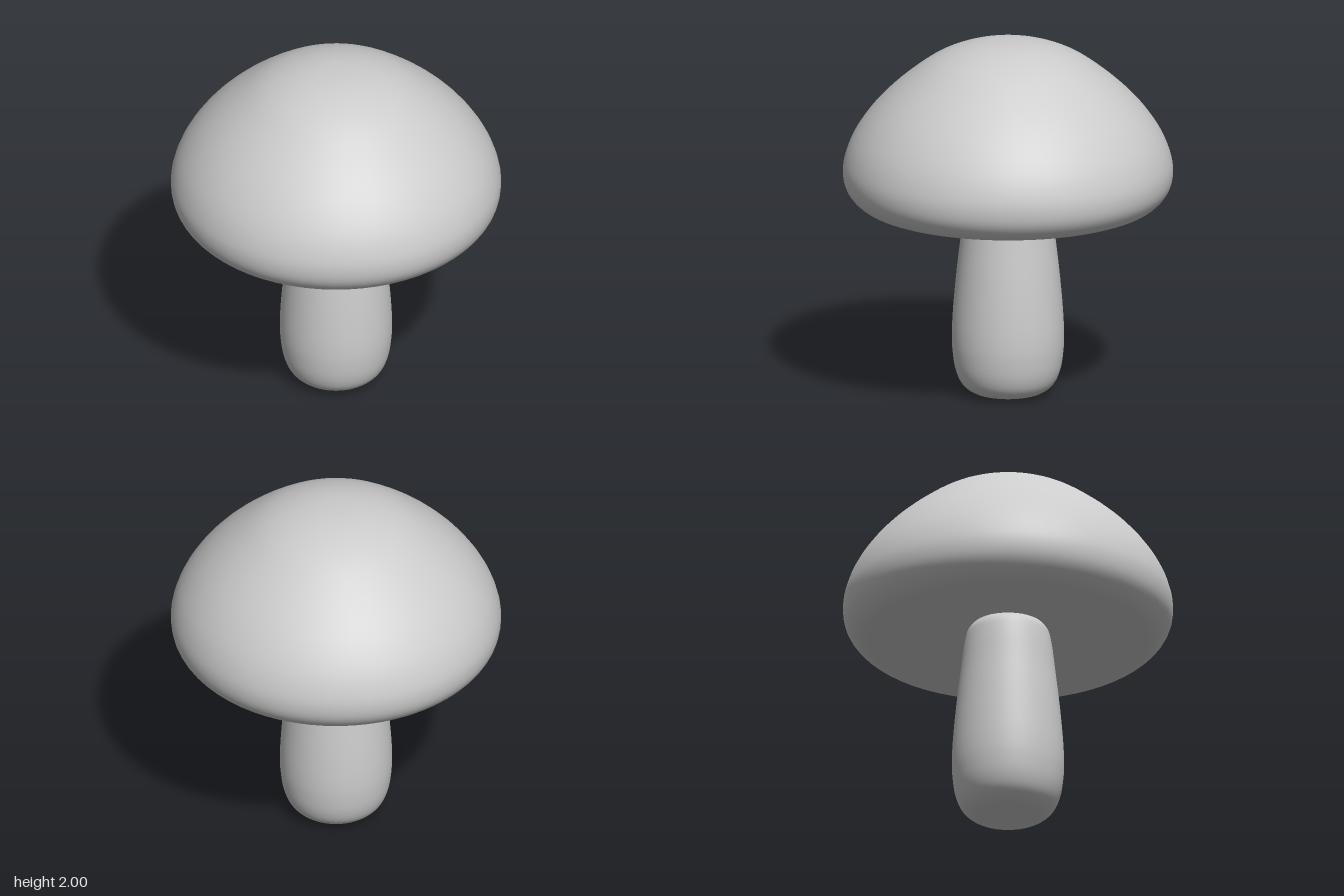
import * as THREE from 'three';

const material = new THREE.MeshStandardMaterial({ color: 0xcccccc });

// Revolves a smooth curve through [radius, height] points, listed bottom to top.
function turnedPart(name, profile, steps) {
  const curve = new THREE.CatmullRomCurve3(
    profile.map(([r, y]) => new THREE.Vector3(r, y, 0)), false, 'centripetal');
  const points = curve.getPoints(steps).map((p) => new THREE.Vector2(Math.max(p.x, 0), p.y));
  const mesh = new THREE.Mesh(new THREE.LatheGeometry(points, 64), material);
  mesh.name = name;
  return mesh;
}

export function createModel() {
  const mushroom = new THREE.Group();
  mushroom.name = 'mushroom';

  // Stem: rounded foot, widest low down, tapering to a rounded top inside the cap
  mushroom.add(turnedPart('stem', [
    [0, 0], [0.12, 0.003], [0.2, 0.02], [0.255, 0.065], [0.288, 0.14],
    [0.305, 0.25], [0.308, 0.34], [0.303, 0.46], [0.285, 0.67], [0.262, 0.87],
    [0.238, 1.06], [0.222, 1.12], [0.18, 1.165], [0.1, 1.185], [0, 1.19],
  ], 60));

  // Cap: hollowed underside, rolled rim and domed top
  mushroom.add(turnedPart('cap', [
    [0, 1.16], [0.2, 1.15], [0.36, 1.13], [0.5, 1.095], [0.6, 1.07], [0.7, 1.063],
    [0.8, 1.083], [0.86, 1.13], [0.895, 1.19], [0.906, 1.27], [0.893, 1.35],
    [0.855, 1.45], [0.78, 1.57], [0.68, 1.685], [0.55, 1.8], [0.4, 1.905],
    [0.25, 1.967], [0.12, 1.994], [0, 2],
  ], 72));

  return mushroom;
}
